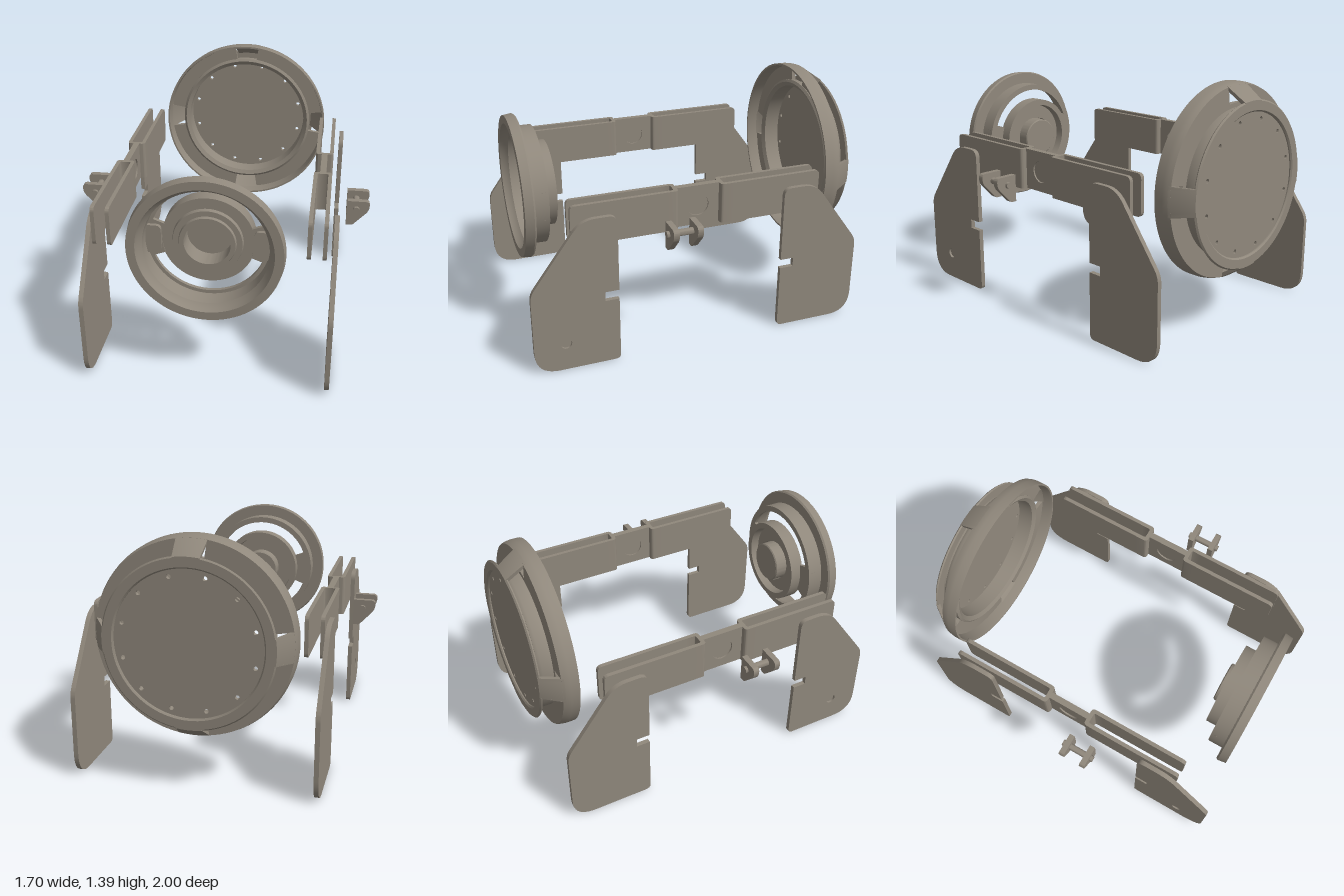
import * as THREE from 'three';
import { toCreasedNormals } from 'three/addons/utils/BufferGeometryUtils.js';

const material = new THREE.MeshStandardMaterial({ color: 0x90887c });
const AXIS_Y = 0.84; // height of the round parts' centre

function add(parent, name, geometry, x = 0, y = 0, z = 0) {
  const mesh = new THREE.Mesh(toCreasedNormals(geometry, 0.6), material);
  mesh.name = name;
  mesh.position.set(x, y, z);
  parent.add(mesh);
}

// Polygon from [x, y, cornerRadius] points
function roundedShape(points) {
  const shape = new THREE.Shape();
  const n = points.length;
  points.forEach(([x, y, r = 0], i) => {
    const p = new THREE.Vector2(x, y);
    const toward = (q) => new THREE.Vector2(q[0], q[1]).sub(p).setLength(r).add(p);
    const a = toward(points[(i + n - 1) % n]);
    const b = toward(points[(i + 1) % n]);
    if (i === 0) shape.moveTo(a.x, a.y);
    else shape.lineTo(a.x, a.y);
    if (r > 0) shape.quadraticCurveTo(x, y, b.x, b.y);
  });
  shape.closePath();
  return shape;
}

function extrude(shape, depth, curveSegments = 10) {
  return new THREE.ExtrudeGeometry(shape, { depth, bevelEnabled: false, curveSegments })
    .translate(0, 0, -depth / 2);
}

// Plate drawn in (z, y), thick along x
const sidePlate = (shape, thickness) => extrude(shape, thickness).rotateY(-Math.PI / 2);

// Turned part from an (r, z) profile, axis along z
const turned = (profile, segments = 96, start = 0, sweep = Math.PI * 2) => new THREE.LatheGeometry(
  profile.map(([r, z]) => new THREE.Vector2(r, z)), segments, start, sweep).rotateX(Math.PI / 2);

// Flat ring segment facing z
function ringSector(inner, outer, from, to, depth) {
  const shape = new THREE.Shape();
  shape.absarc(0, 0, outer, from, to, false);
  shape.absarc(0, 0, inner, to, from, true);
  return extrude(shape, depth, 32);
}

function circleHole(shape, x, y, r) {
  const hole = new THREE.Path();
  hole.absarc(x, y, r, 0, Math.PI * 2, true);
  shape.holes.push(hole);
}

function buildLeg(side, front) {
  const leg = new THREE.Group();
  leg.name = (front ? 'front' : 'rear') + (side > 0 ? 'LeftLeg' : 'RightLeg');
  const outline = [
    [0.513, 0, 0.03], [1, 0, 0.14], [1, 0.5, 0.04], [0.71, 0.895, 0.08], [0.513, 0.895, 0.05],
    [0.513, 0.445], [0.593, 0.445], [0.593, 0.39], [0.513, 0.39],
  ].map(([z, y, r]) => [front ? z : 0.05 - z, y, r]);
  // Outer layer carries the shallow round recess
  const outer = roundedShape(outline);
  circleHole(outer, front ? 0.82 : -0.77, 0.165, 0.031);
  add(leg, 'outerPlate', sidePlate(outer, 0.013), side * 0.6745);
  add(leg, 'innerPlate', sidePlate(roundedShape(outline), 0.013), side * 0.6615);
  return leg;
}

function buildArm(x, name) {
  const arm = new THREE.Group();
  arm.name = name;
  arm.position.set(x, 0.8375, 0.025);
  const h = 0.235;
  // Web with a round pivot recess on both faces
  add(arm, 'webCore', new THREE.BoxGeometry(0.018, h, 0.27));
  for (const s of [1, -1]) {
    const skin = roundedShape([[-0.135, -h / 2], [0.135, -h / 2], [0.135, h / 2], [-0.135, h / 2]]);
    circleHole(skin, 0, 0, 0.064);
    add(arm, 'webSkin', sidePlate(skin, 0.009), s * 0.0135);
  }
  for (const end of [1, -1]) {
    // Curved yoke joining web and prongs, drawn in plan
    const yoke = roundedShape([
      [-0.053, 0.2], [-0.053, 0.124, 0.022], [0.053, 0.124, 0.022], [0.053, 0.2],
      [0.031, 0.2], [0.031, 0.147, 0.01], [-0.031, 0.147, 0.01], [-0.031, 0.2],
    ]);
    const geometry = extrude(yoke, h).rotateX(Math.PI / 2);
    if (end < 0) geometry.rotateY(Math.PI);
    add(arm, 'yoke', geometry);
    for (const s of [1, -1]) {
      const prong = roundedShape([
        [end * 0.2, -h / 2], [end * 0.73, -h / 2, 0.03],
        [end * 0.73, h / 2, 0.03], [end * 0.2, h / 2],
      ]);
      add(arm, 'prong', sidePlate(prong, 0.022), s * 0.042);
    }
  }
  return arm;
}

function buildBracket(side) {
  const bracket = new THREE.Group();
  bracket.name = side > 0 ? 'leftBracket' : 'rightBracket';
  const cheek = roundedShape([
    [0.72, 0.68], [0.757, 0.68, 0.01], [0.85, 0.78, 0.03], [0.85, 0.835, 0.025], [0.72, 0.835],
  ].map(([x, y, r]) => [side * x, y, r]));
  for (const z of [0.109, 0.244]) add(bracket, 'cheek', extrude(cheek, 0.033), 0, 0, z);
  add(bracket, 'pin', new THREE.CylinderGeometry(0.019, 0.019, 0.2, 24).rotateX(Math.PI / 2),
    side * 0.775, 0.785, 0.177);
  return bracket;
}

function buildRearDrum() {
  const drum = new THREE.Group();
  drum.name = 'rearDrum';
  drum.position.y = AXIS_Y;
  add(drum, 'rim', turned([
    [0.525, -0.895], [0.535, -0.895], [0.542, -0.875], [0.546, -0.85], [0.546, -0.8],
    [0.535, -0.8], [0.53, -0.82], [0.525, -0.895],
  ]));
  add(drum, 'panWall', turned([
    [0.395, -0.975], [0.405, -0.972], [0.416, -0.955], [0.416, -0.895], [0.44, -0.895],
    [0.44, -0.865], [0.425, -0.855], [0.4, -0.87], [0.395, -0.975],
  ]));
  add(drum, 'rearRing', turned([
    [0.4, -0.992], [0.408, -1], [0.457, -1], [0.465, -0.992], [0.46, -0.984],
    [0.4, -0.984], [0.4, -0.992],
  ]));
  // Back plate with a circle of bolt holes
  const disc = new THREE.Shape();
  disc.absarc(0, 0, 0.4, 0, Math.PI * 2, false);
  for (let i = 0; i < 12; i++) {
    const a = ((i + 0.5) * Math.PI) / 6;
    circleHole(disc, 0.365 * Math.cos(a), 0.365 * Math.sin(a), 0.012);
  }
  add(drum, 'backPlate', extrude(disc, 0.022, 48), 0, 0, -0.974);

  // Four hollow conical spokes with flanges between them
  const spoke = [
    [0.44, -1], [0.462, -1], [0.538, -0.89], [0.544, -0.86],
    [0.528, -0.86], [0.518, -0.885], [0.446, -0.984], [0.44, -1],
  ];
  const half = 0.15;
  for (let i = 0; i < 4; i++) {
    const quarter = new THREE.Group();
    quarter.name = 'drumQuarter';
    quarter.rotation.z = (i * Math.PI) / 2;
    drum.add(quarter);
    add(quarter, 'spoke', turned(spoke, 8, Math.PI / 2 - half, 2 * half));
    for (const s of [1, -1]) {
      const edge = extrude(roundedShape(spoke.slice(0, -1)), 0.006).rotateX(Math.PI / 2);
      add(quarter, 'spokeEdge', edge.rotateZ(s * half));
    }
    add(quarter, 'flange', ringSector(0.42, 0.53, half, Math.PI / 2 - half, 0.025), 0, 0, -0.8825);
  }
  return drum;
}

function buildFrontWheel() {
  const wheel = new THREE.Group();
  wheel.name = 'frontWheel';
  wheel.position.y = AXIS_Y;
  add(wheel, 'outerRing', turned([
    [0.31, 0.82], [0.31, 0.8], [0.345, 0.8], [0.345, 0.89], [0.413, 0.89], [0.42, 0.9],
    [0.413, 0.95], [0.365, 0.95], [0.355, 0.925], [0.335, 0.905], [0.33, 0.82], [0.31, 0.82],
  ]));
  add(wheel, 'hub', turned([
    [0, 0.71], [0.114, 0.71], [0.12, 0.716], [0.12, 0.785], [0.21, 0.785], [0.215, 0.735],
    [0.25, 0.735], [0.25, 0.815], [0.19, 0.815], [0.185, 0.835], [0.155, 0.835],
    [0.15, 0.85], [0.125, 0.85], [0.125, 0.74], [0, 0.74],
  ]));
  // Webs on either side leave an arched window above and below
  const rib = roundedShape([[0.335, -0.083], [0.335, 0.083], [0.247, 0.083, 0.03], [0.247, -0.083, 0.03]]);
  for (const a of [0, Math.PI]) {
    add(wheel, 'web', ringSector(0.245, 0.32, a - 0.36, a + 0.36, 0.02), 0, 0, 0.81);
    add(wheel, 'webRib', extrude(rib, 0.025).rotateZ(a), 0, 0, 0.828);
  }
  return wheel;
}

export function createModel() {
  const model = new THREE.Group();
  model.name = 'explodedFrame';
  for (const side of [1, -1]) {
    for (const front of [true, false]) model.add(buildLeg(side, front));
    model.add(buildBracket(side));
  }
  model.add(buildArm(0.572, 'leftArm'), buildArm(-0.602, 'rightArm'));
  model.add(buildRearDrum(), buildFrontWheel());
  return model;
}
